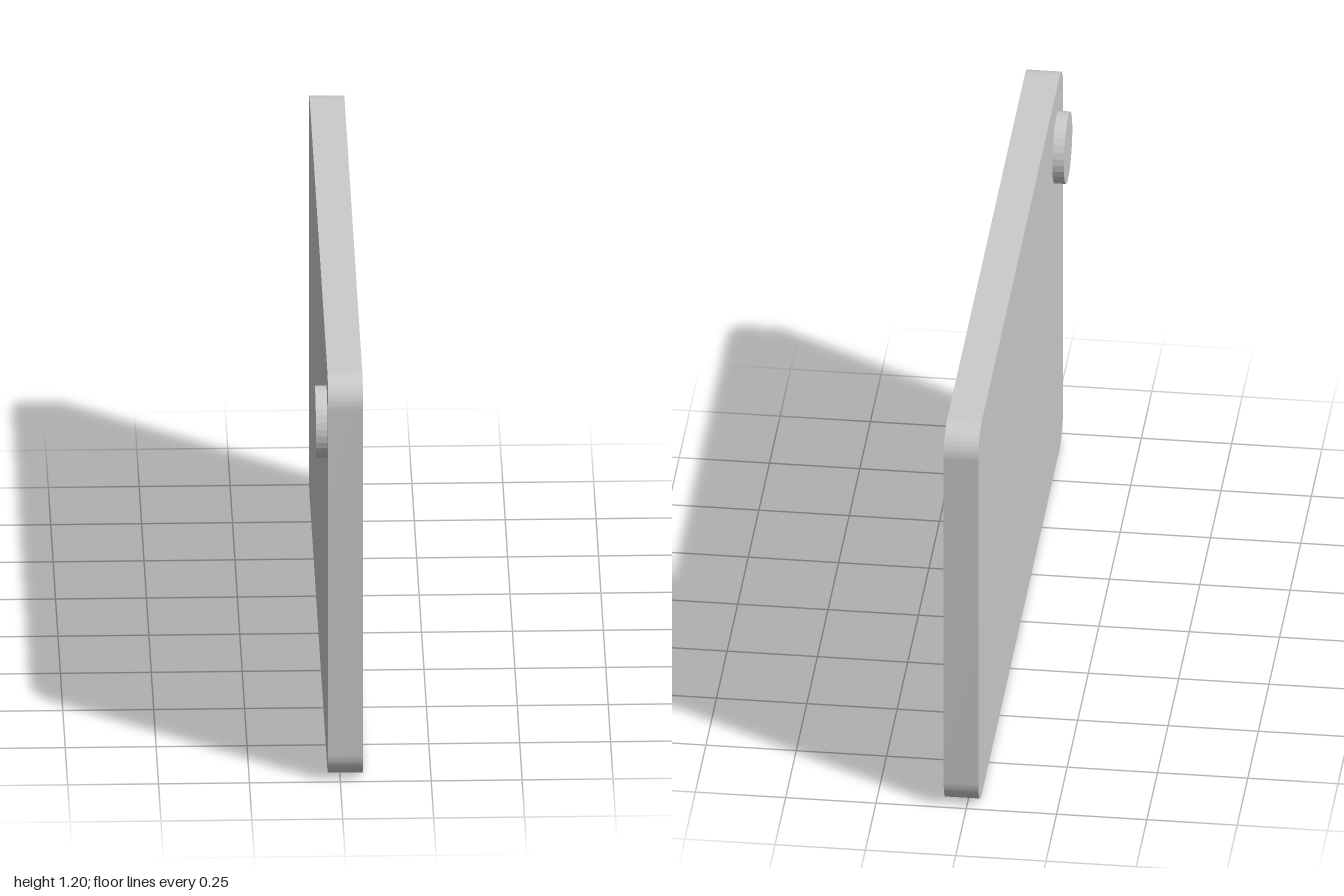
import * as THREE from 'three';
import { toCreasedNormals } from 'three/addons/utils/BufferGeometryUtils.js';

const LENGTH = 2, HEIGHT = 1.2, CORNER = 0.08;
const BACK = -0.0335, FRONT = 0.0625; // x of the slab's two faces
const REACH = 0.0655; // how far the screen and lens stand out in x

// Rounded rectangle centred on the origin
function roundedRect(w, h, r) {
  const x = w / 2 - r, y = h / 2 - r;
  const s = new THREE.Shape();
  s.absarc(x, y, r, 0, Math.PI / 2);
  s.absarc(-x, y, r, Math.PI / 2, Math.PI);
  s.absarc(-x, -y, r, Math.PI, Math.PI * 1.5);
  s.absarc(x, -y, r, Math.PI * 1.5, Math.PI * 2);
  s.closePath();
  return s;
}

export function createModel() {
  const model = new THREE.Group();
  model.name = 'tablet';
  const material = new THREE.MeshStandardMaterial({ color: 0xcccccc });
  const flat = new THREE.MeshStandardMaterial({ color: 0xcccccc, flatShading: true });

  function add(name, geometry, mat, x, y, z) {
    const mesh = new THREE.Mesh(geometry, mat);
    mesh.name = name;
    mesh.position.set(x, y, z);
    model.add(mesh);
  }

  // Slab with rounded corners, extruded along x
  const slab = new THREE.ExtrudeGeometry(roundedRect(LENGTH, HEIGHT, CORNER), {
    depth: FRONT - BACK, bevelEnabled: false, curveSegments: 16,
  });
  slab.rotateY(Math.PI / 2);
  add('body', toCreasedNormals(slab, 0.5), material, BACK, HEIGHT / 2, 0);

  // Thin raised screen on the +x face
  const screenDepth = REACH - FRONT;
  add('screen', new THREE.BoxGeometry(screenDepth, 1, 1.8), material,
    FRONT + screenDepth / 2, HEIGHT / 2, 0);

  // Round camera lens on the -x face, near the upper corner
  const lensDepth = REACH + BACK;
  const lens = new THREE.CylinderGeometry(0.1, 0.1, lensDepth, 32);
  lens.rotateZ(Math.PI / 2);
  add('cameraLens', lens, flat, BACK - lensDepth / 2, 1.016, 0.845);

  return model;
}
